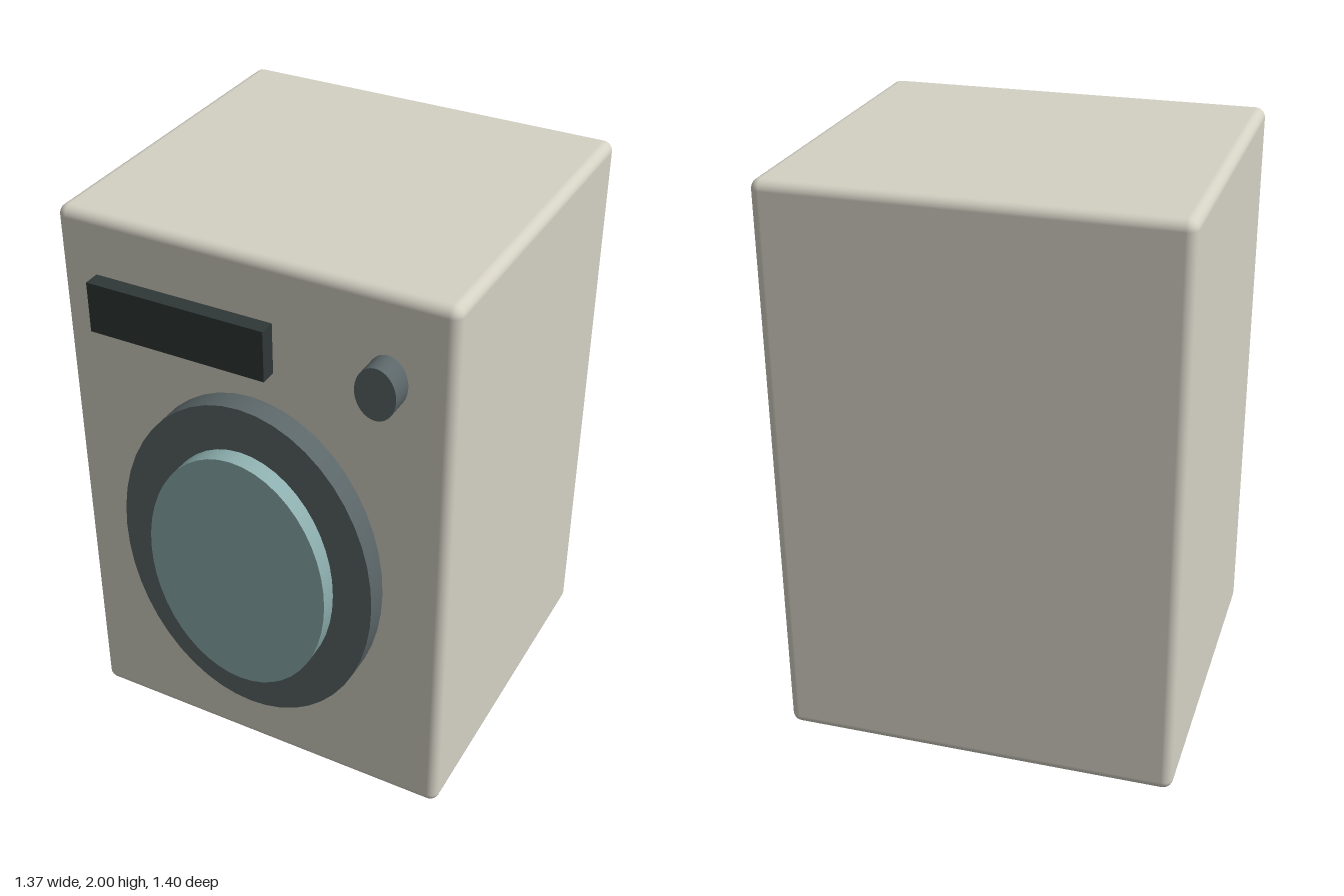
import * as THREE from 'three';
import { RoundedBoxGeometry } from 'three/addons/geometries/RoundedBoxGeometry.js';

const material = (name, color) => {
  const m = new THREE.MeshStandardMaterial({ color });
  m.name = name;
  return m;
};

export function createModel() {
  const cream = material('warm cream', 0xd4d1c4);
  const slate = material('slate grey', 0x5b6668);
  const teal = material('teal glass', 0x8daeae);
  const dark = material('dark panel', 0x2f3837);

  const FRONT = 0.56; // front face of the cabinet
  const model = new THREE.Group();
  model.name = 'washingMachine';

  const add = (name, geometry, mat, x, y, z) => {
    const mesh = new THREE.Mesh(geometry, mat);
    mesh.name = name;
    mesh.position.set(x, y, z);
    model.add(mesh);
  };

  // Oval disc facing forward, spanning back to front in z
  const addDisc = (name, mat, x, y, rx, ry, back, front) => {
    const geometry = new THREE.CylinderGeometry(1, 1, front - back, 48);
    geometry.rotateX(Math.PI / 2).scale(rx, ry, 1);
    add(name, geometry, mat, x, y, (back + front) / 2);
  };

  // Cabinet with softened edges
  add('cabinet', new RoundedBoxGeometry(1.37, 2, 1.26, 4, 0.035), cream, 0, 1, -0.07);

  // Door: wide rim with raised glass
  addDisc('doorRim', slate, 0, 0.883, 0.465, 0.62, FRONT - 0.02, 0.64);
  addDisc('doorGlass', teal, 0, 0.883, 0.327, 0.458, 0.62, 0.7);

  // Controls: display panel and dial
  add('displayPanel', new THREE.BoxGeometry(0.63, 0.177, 0.08), dark, -0.235, 1.703, 0.577);
  addDisc('dial', slate, 0.465, 1.703, 0.068, 0.09, FRONT, 0.64);

  return model;
}
